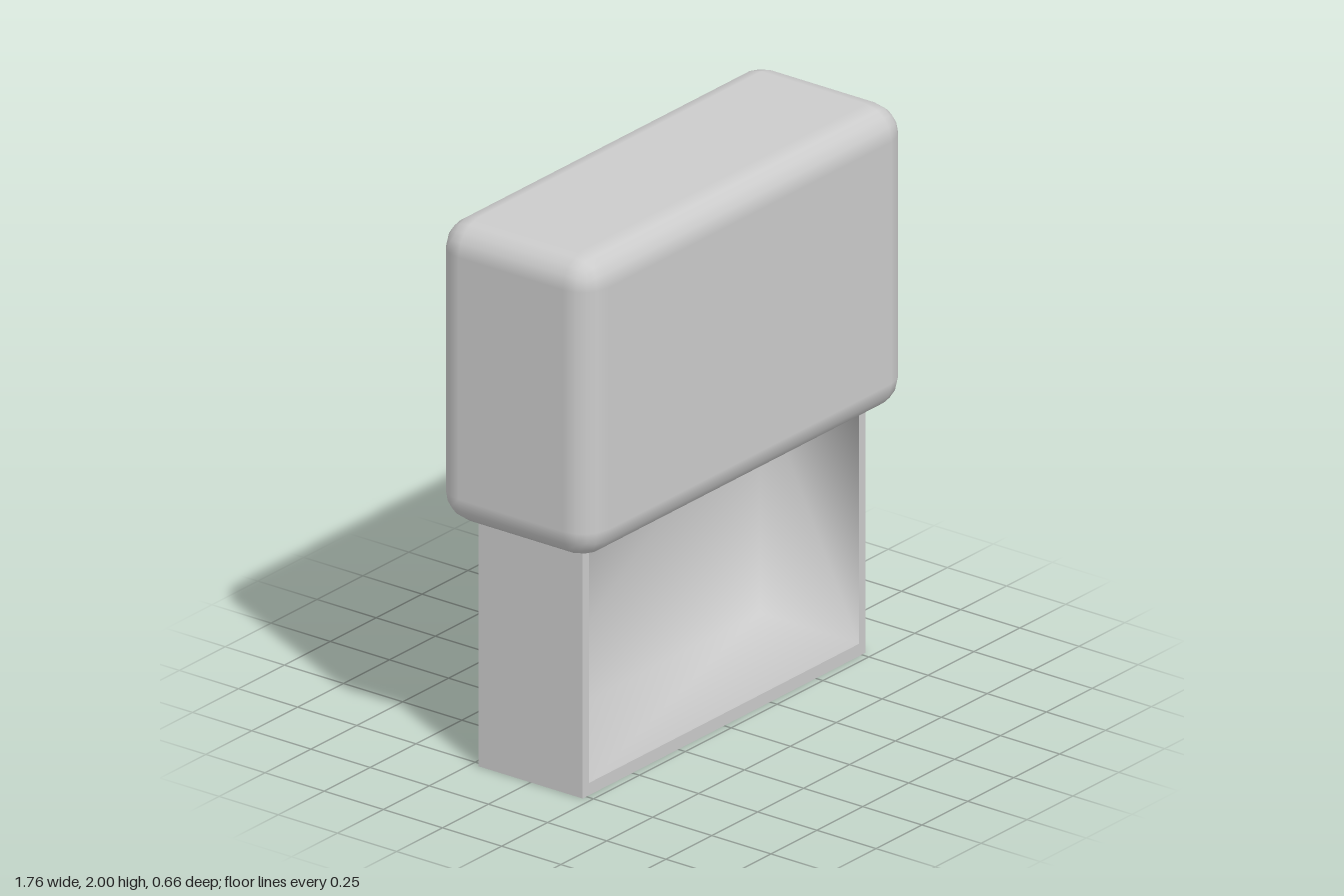
import * as THREE from 'three';
import { RoundedBoxGeometry } from 'three/addons/geometries/RoundedBoxGeometry.js';

const material = new THREE.MeshStandardMaterial({ color: 0xcccccc });

function addPart(parent, name, geometry, x = 0, y = 0, z = 0) {
  const mesh = new THREE.Mesh(geometry, material);
  mesh.name = name;
  mesh.position.set(x, y, z);
  parent.add(mesh);
}

// Corners of a rectangle, anticlockwise from the lower left
const rectangle = (halfWidth, bottom, top) => [
  [-halfWidth, bottom], [halfWidth, bottom], [halfWidth, top], [-halfWidth, top],
].map(([x, y]) => new THREE.Vector2(x, y));

// Inward-facing tray between a front and a back rectangle, smoothly shaded
function trayGeometry(front, zFront, back, zBack) {
  const positions = [
    ...front.flatMap((p) => [p.x, p.y, zFront]),
    ...back.flatMap((p) => [p.x, p.y, zBack]),
  ];
  const index = [4, 5, 6, 4, 6, 7];
  for (let i = 0; i < 4; i++) {
    const j = (i + 1) % 4;
    index.push(i, j, j + 4, i, j + 4, i + 4);
  }
  const geometry = new THREE.BufferGeometry();
  geometry.setAttribute('position', new THREE.Float32BufferAttribute(positions, 3));
  geometry.setIndex(index);
  geometry.computeVertexNormals();
  return geometry;
}

export function createModel() {
  const model = new THREE.Group();
  const halfWidth = 0.77, halfDepth = 0.22, height = 0.9;

  // Rounded upper block
  addPart(model, 'upperBlock', new RoundedBoxGeometry(1.76, 1.1, 0.66, 2, 0.11), 0, 1.45, 0);

  const lower = new THREE.Group();
  lower.name = 'lowerBox';
  model.add(lower);

  // Outer walls: a box without its front face
  const walls = new THREE.BoxGeometry(halfWidth * 2, height, halfDepth * 2);
  const faces = Array.from(walls.index.array);
  faces.splice(24, 6);
  walls.setIndex(faces);
  walls.clearGroups();
  addPart(lower, 'outerWalls', walls, 0, height / 2, 0);

  // Narrow rim around the opening
  const opening = rectangle(0.735, 0.045, height);
  const rim = new THREE.Shape([
    [-halfWidth, 0], [halfWidth, 0], [halfWidth, height], [0.735, height],
    [0.735, 0.045], [-0.735, 0.045], [-0.735, height], [-halfWidth, height],
  ].map(([x, y]) => new THREE.Vector2(x, y)));
  addPart(lower, 'rim', new THREE.ShapeGeometry(rim), 0, 0, halfDepth);

  // Slightly tapered cavity
  addPart(lower, 'cavity',
    trayGeometry(opening, halfDepth, rectangle(0.71, 0.06, height), -0.18));

  return model;
}
